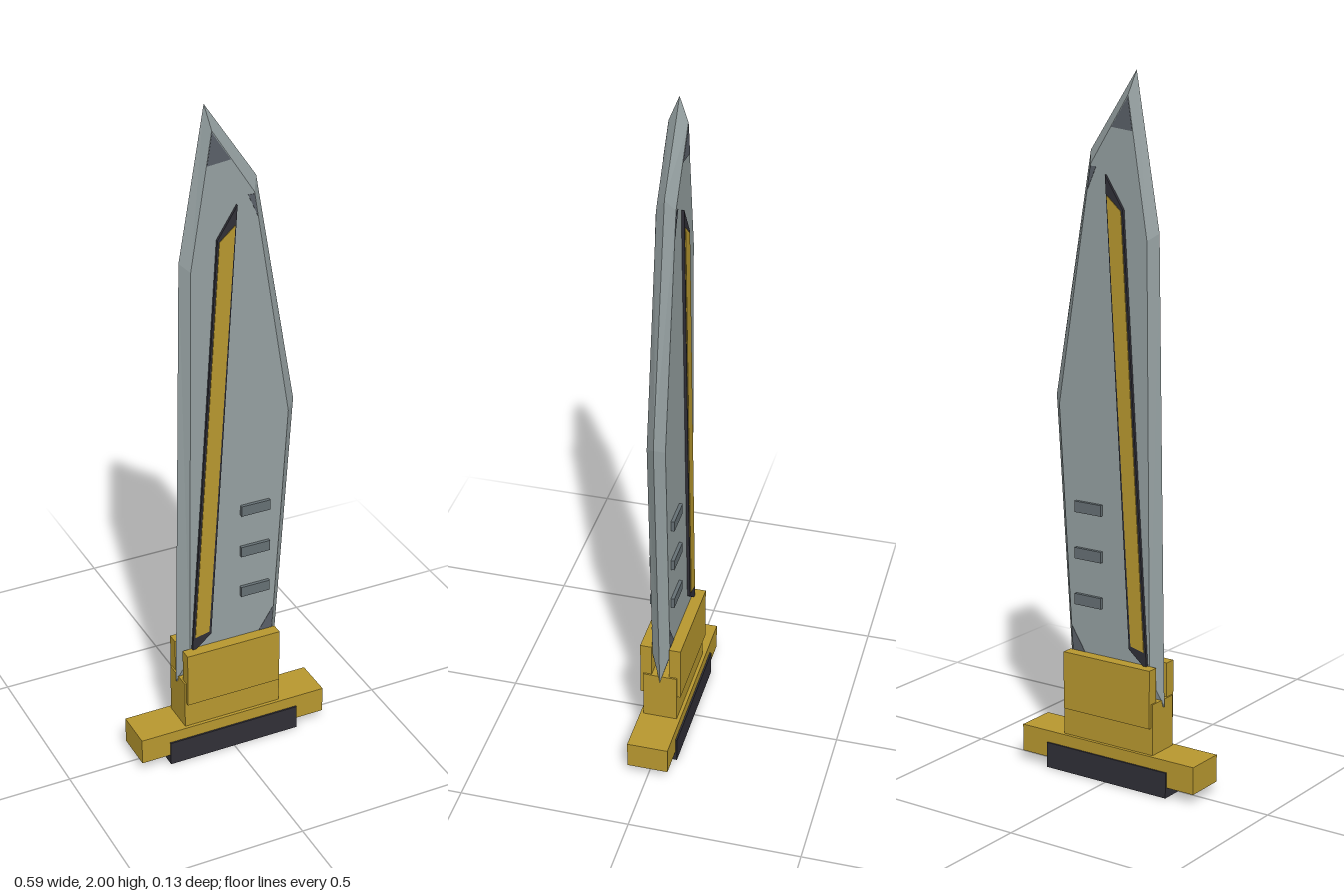
import * as THREE from 'three';

const mat = (name, color) => {
  const m = new THREE.MeshStandardMaterial({ color });
  m.name = name;
  return m;
};

export function createModel() {
  const steel = mat('steel', 0x95a0a1);
  const shade = mat('shaded steel', 0x667074);
  const gold = mat('gold', 0xb8982f);
  const dark = mat('dark trim', 0x302f37);
  const wear = mat('worn steel', 0x5a6068);

  const model = new THREE.Group();
  model.name = 'blade';
  const add = (name, geometry, material, parent = model) => {
    const mesh = new THREE.Mesh(geometry, material);
    mesh.name = name;
    parent.add(mesh);
    return mesh;
  };
  const box = (name, material, w, y0, y1, z0, z1, x = 0, parent = model) => {
    const mesh = add(name, new THREE.BoxGeometry(w, y1 - y0, z1 - z0), material, parent);
    mesh.position.set(x, (y0 + y1) / 2, (z0 + z1) / 2);
  };
  const toShape = (pts) => new THREE.Shape(pts.map(([x, y]) => new THREE.Vector2(x, y)));
  const plate = (name, material, pts, z0, z1, parent) => {
    const geo = new THREE.ExtrudeGeometry(toShape(pts), { depth: z1 - z0, bevelEnabled: false });
    add(name, geo, material, parent).position.z = z0;
  };

  // Blade: sharp outline at z = 0 bevelled up to a flat face on both sides
  const edge = [[-0.158, 0.24], [0.155, 0.24], [0.21, 1.09], [0.09, 1.78], [-0.06, 2], [-0.135, 1.57]];
  const face = [[-0.125, 0.33], [0.137, 0.33], [0.182, 1.07], [0.073, 1.745], [-0.05, 1.935], [-0.112, 1.55]];
  const pos = [];
  const tri = (a, b, c) => pos.push(...a, ...b, ...c);
  const n = edge.length;
  for (const s of [1, -1]) {
    const put = (a, b, c) => (s > 0 ? tri(a, b, c) : tri(a, c, b));
    const inner = face.map(([x, y]) => [x, y, 0.026 * s]);
    const outer = edge.map(([x, y]) => [x, y, 0]);
    for (let i = 0; i < n; i++) {
      const j = (i + 1) % n;
      put(outer[i], outer[j], inner[j]);
      put(outer[i], inner[j], inner[i]);
      if (i > 0 && i < n - 1) put(inner[0], inner[i], inner[j]);
    }
  }
  const bladeGeo = new THREE.BufferGeometry();
  bladeGeo.setAttribute('position', new THREE.Float32BufferAttribute(pos, 3));
  bladeGeo.computeVertexNormals();
  add('bladeBody', bladeGeo, steel);

  // Fittings repeated on the front and back faces
  for (const side of ['front', 'back']) {
    const fittings = new THREE.Group();
    fittings.name = side + 'Fittings';
    model.add(fittings);

    plate('inlayFrame', dark, [[-0.12, 0.35], [-0.06, 0.4], [0.02, 1.72], [-0.038, 1.63]], 0.02, 0.034, fittings);
    plate('inlay', gold, [[-0.111, 0.4], [-0.067, 0.41], [0.013, 1.665], [-0.033, 1.625]], 0.03, 0.036, fittings);
    for (const y of [0.515, 0.65, 0.785]) {
      box('vent', shade, 0.09, y - 0.016, y + 0.016, 0.02, 0.036, 0.08, fittings);
    }
    // Worn patches in the corners of the flat face
    const patches = [
      [[-0.064, 1.84], [0.004, 1.848], [-0.05, 1.93]],
      [[0.083, 1.68], [0.073, 1.742], [0.056, 1.768]],
      [[0.09, 0.35], [0.137, 0.35], [0.141, 0.43]],
    ];
    patches[1] = [[0.083, 1.675], [0.073, 1.74], [0.054, 1.74]];
    for (const p of patches) plate('wornPatch', wear, p, 0.025, 0.027, fittings);

    // Clamp plate gripping the blade root
    box('clampPlate', gold, 0.295, 0.19, 0.36, 0.026, 0.06, 0, fittings);
    if (side === 'back') {
      // Mirror the fittings through z with the faces still outward
      fittings.children.forEach((mesh) => {
        const g = mesh.geometry.index ? mesh.geometry.toNonIndexed() : mesh.geometry;
        g.translate(mesh.position.x, mesh.position.y, mesh.position.z);
        g.scale(1, 1, -1);
        mesh.position.set(0, 0, 0);
        const p = g.attributes.position;
        const v = [];
        for (let i = 0; i < p.count; i += 3) {
          for (const k of [i, i + 2, i + 1]) v.push(p.getX(k), p.getY(k), p.getZ(k));
        }
        mesh.geometry = new THREE.BufferGeometry();
        mesh.geometry.setAttribute('position', new THREE.Float32BufferAttribute(v, 3));
        mesh.geometry.computeVertexNormals();
      });
    }
  }

  // Collar, guard bar and dark base block
  box('collar', gold, 0.305, 0.1, 0.26, -0.05, 0.05);
  box('guardBar', gold, 0.59, 0.03, 0.11, -0.06, 0.06);
  box('baseBlock', dark, 0.412, 0, 0.075, -0.065, 0.065);

  return model;
}
